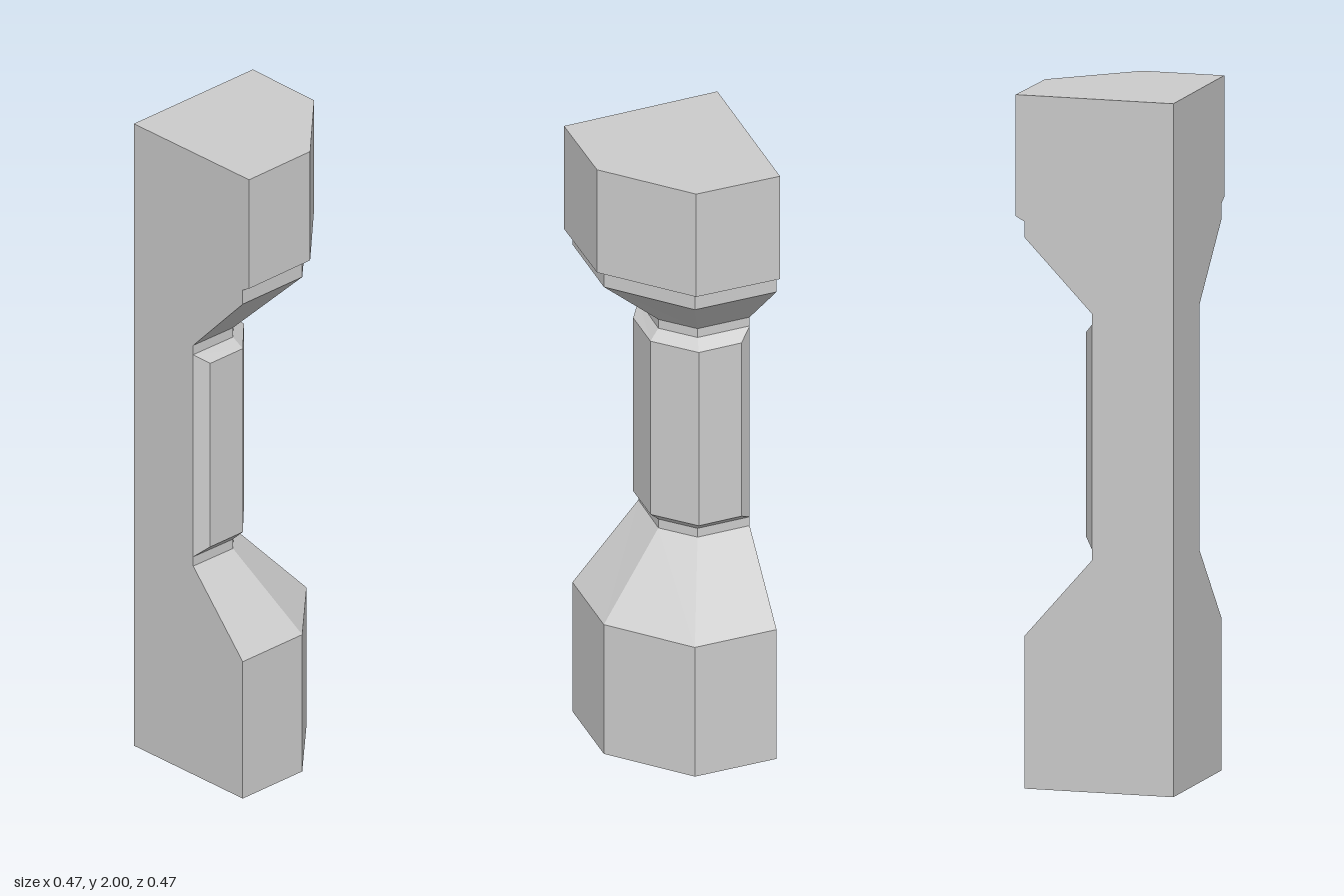
import * as THREE from 'three';

const W = -0.235; // the two flat wall planes: x = W and z = W

// Plain section: wall corner, two wall ends, chamfered outer corner.
// Wall-end points are doubled so it can blend into the panelled section.
function plain(y, end, reach, chamferX, chamferZ) {
  return [
    [W, W], [end, W], [end, W], [reach, chamferZ],
    [chamferX, reach + 0.003], [W, end], [W, end],
  ].map(([x, z]) => new THREE.Vector3(x, y, z));
}

// Shaft section: raised faces with a bevel along each wall
function panelled(y) {
  return [
    [W, W], [0.007, W], [0.037, -0.198], [0.037, -0.067],
    [-0.069, 0.038], [-0.198, 0.038], [W, 0.007],
  ].map(([x, z]) => new THREE.Vector3(x, y, z));
}

// Skin a stack of sections, optionally closing the bottom or top
function loft(name, sections, { bottom = false, top = false } = {}) {
  const pos = [];
  const tri = (a, b, c) => {
    const area = b.clone().sub(a).cross(c.clone().sub(a)).length();
    if (area > 1e-7) for (const p of [a, b, c]) pos.push(p.x, p.y, p.z);
  };
  for (let s = 0; s < sections.length - 1; s++) {
    const lo = sections[s], hi = sections[s + 1];
    for (let i = 0; i < lo.length; i++) {
      const j = (i + 1) % lo.length;
      tri(lo[i], hi[i], hi[j]);
      tri(lo[i], hi[j], lo[j]);
    }
  }
  const first = sections[0], last = sections[sections.length - 1];
  for (let i = 1; i < first.length - 1; i++) {
    if (bottom) tri(first[0], first[i], first[i + 1]);
    if (top) tri(last[0], last[i + 1], last[i]);
  }
  const geometry = new THREE.BufferGeometry();
  geometry.setAttribute('position', new THREE.Float32BufferAttribute(pos, 3));
  geometry.computeVertexNormals();
  const mesh = new THREE.Mesh(
    geometry,
    new THREE.MeshStandardMaterial({ color: 0xcccccc, flatShading: true }),
  );
  mesh.name = name;
  return mesh;
}

export function createModel() {
  const group = new THREE.Group();
  group.name = 'cornerColumn';

  const neck = (y) => plain(y, 0.007, 0.006, -0.08, -0.076);
  const block = (y) => plain(y, 0.209, 0.206, 0.0, 0.014);
  const crown = (y) => plain(y, 0.235, 0.23, 0.008, 0.02);

  // Base block with sloped shoulder
  group.add(loft('base', [block(0), block(0.44), neck(0.67)], { bottom: true }));
  // Shaft between two narrow necks
  group.add(loft('shaft', [neck(0.67), neck(0.7), panelled(0.73), panelled(1.32), neck(1.35), neck(1.38)]));
  // Flared capital with a thin band under the top block
  group.add(loft('capital', [neck(1.38), block(1.59), block(1.635), crown(1.65), crown(2)], { top: true }));

  return group;
}
